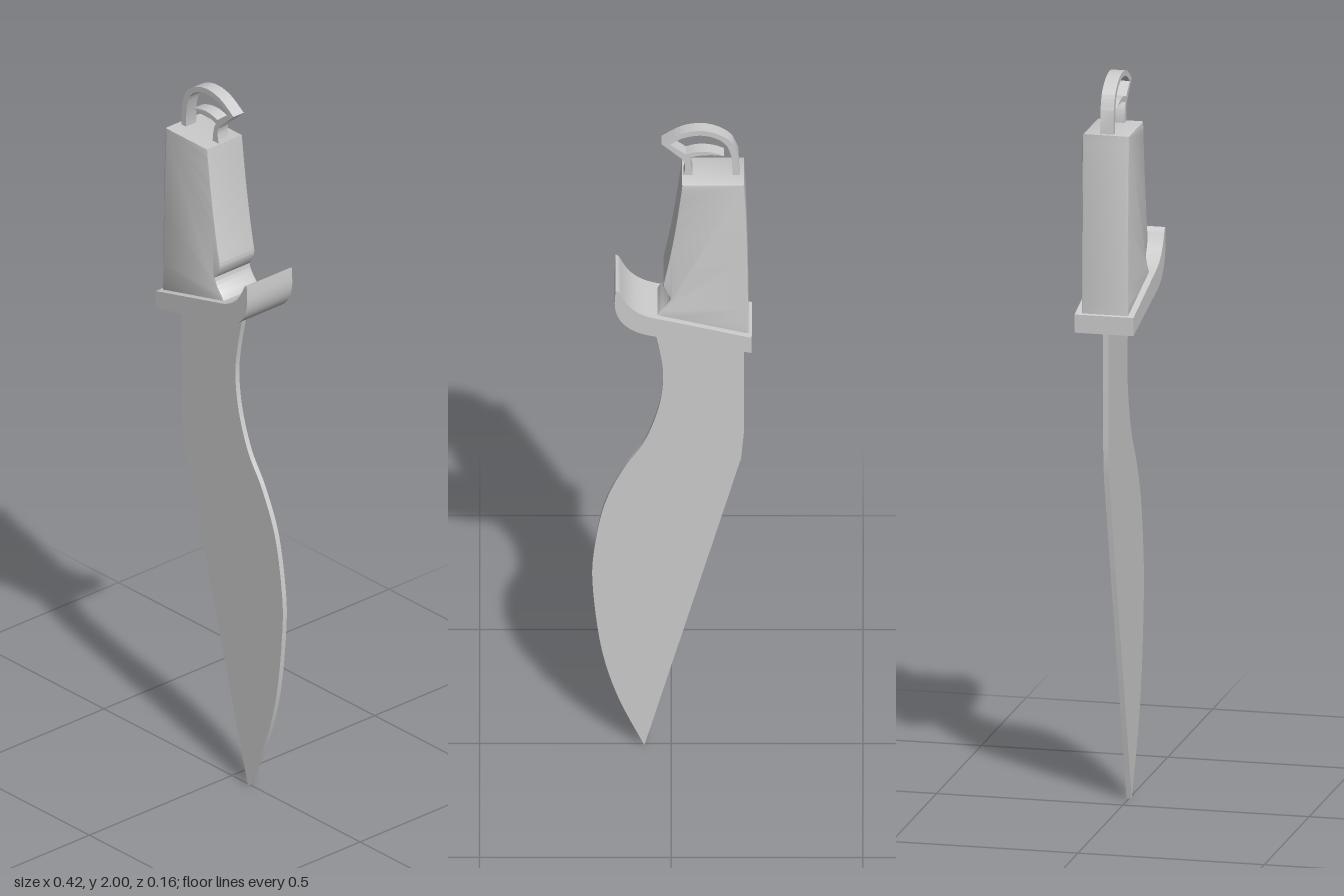
import * as THREE from 'three';
import { toCreasedNormals } from 'three/addons/utils/BufferGeometryUtils.js';

const material = new THREE.MeshStandardMaterial({ color: 0xcccccc });

// Extrudes a side profile to a total depth centred on z = 0
function slab(name, shape, depth, bevel = 0) {
  const extruded = new THREE.ExtrudeGeometry(shape, {
    depth: depth - 2 * bevel,
    curveSegments: 14,
    bevelEnabled: bevel > 0,
    bevelThickness: bevel,
    bevelSize: bevel,
    bevelOffset: -bevel,
    bevelSegments: 2,
  });
  extruded.translate(0, 0, bevel - depth / 2);
  const mesh = new THREE.Mesh(toCreasedNormals(extruded, 0.6), material);
  mesh.name = name;
  return mesh;
}

const points = (list) => list.map(([x, y]) => new THREE.Vector2(x, y));

function bladeShape() {
  const s = new THREE.Shape();
  s.moveTo(0.07, 0);
  // Curved cutting edge
  s.splineThru(points([[0.14, 0.16], [0.183, 0.32], [0.205, 0.52], [0.2, 0.64], [0.174, 0.78],
    [0.125, 0.895], [0.07, 0.985], [0.034, 1.09], [0.021, 1.19], [0.03, 1.28], [0.058, 1.41]]));
  // Spine
  s.lineTo(-0.19, 1.355);
  s.lineTo(-0.19, 1.02);
  s.lineTo(-0.182, 0.93);
  s.closePath();
  return s;
}

function handleShape() {
  const s = new THREE.Shape();
  s.moveTo(-0.202, 1.36);
  s.lineTo(0.045, 1.42);
  s.lineTo(0.03, 1.447);
  // Finger notch
  s.quadraticCurveTo(0.002, 1.475, 0.003, 1.492);
  s.quadraticCurveTo(0.024, 1.518, 0.02, 1.54);
  s.quadraticCurveTo(-0.008, 1.67, -0.028, 1.857);
  s.lineTo(-0.19, 1.857);
  s.quadraticCurveTo(-0.201, 1.7, -0.202, 1.36);
  return s;
}

function guardShape() {
  const s = new THREE.Shape();
  s.moveTo(-0.21, 1.325);
  s.lineTo(0.05, 1.38);
  s.bezierCurveTo(0.115, 1.393, 0.152, 1.43, 0.147, 1.5);
  s.lineTo(0.145, 1.528);
  s.lineTo(0.137, 1.523);
  s.bezierCurveTo(0.115, 1.475, 0.095, 1.447, 0.03, 1.434);
  s.lineTo(-0.21, 1.374);
  s.closePath();
  return s;
}

function hookShape() {
  const s = new THREE.Shape();
  // Outer arch to the point, then down the short leg
  s.moveTo(-0.178, 1.85);
  s.lineTo(-0.175, 1.92);
  s.splineThru(points([[-0.157, 1.963], [-0.12, 1.99], [-0.075, 2], [-0.025, 1.99], [0.026, 1.958]]));
  s.lineTo(-0.031, 1.906);
  s.quadraticCurveTo(-0.042, 1.89, -0.03, 1.85);
  s.lineTo(-0.055, 1.85);
  s.quadraticCurveTo(-0.057, 1.885, -0.043, 1.912);
  // Thin inner barb
  s.quadraticCurveTo(-0.085, 1.927, -0.137, 1.919);
  s.quadraticCurveTo(-0.085, 1.944, -0.038, 1.924);
  // Inside of the arch
  s.lineTo(0.003, 1.955);
  s.splineThru(points([[-0.03, 1.976], [-0.075, 1.985], [-0.115, 1.976], [-0.144, 1.953], [-0.158, 1.915]]));
  s.lineTo(-0.16, 1.85);
  s.closePath();
  return s;
}

export function createModel() {
  const knife = new THREE.Group();
  knife.name = 'curvedKnife';
  knife.add(
    slab('blade', bladeShape(), 0.014),
    slab('handle', handleShape(), 0.125, 0.005),
    slab('guard', guardShape(), 0.158),
    slab('pommelHook', hookShape(), 0.036),
  );
  return knife;
}
